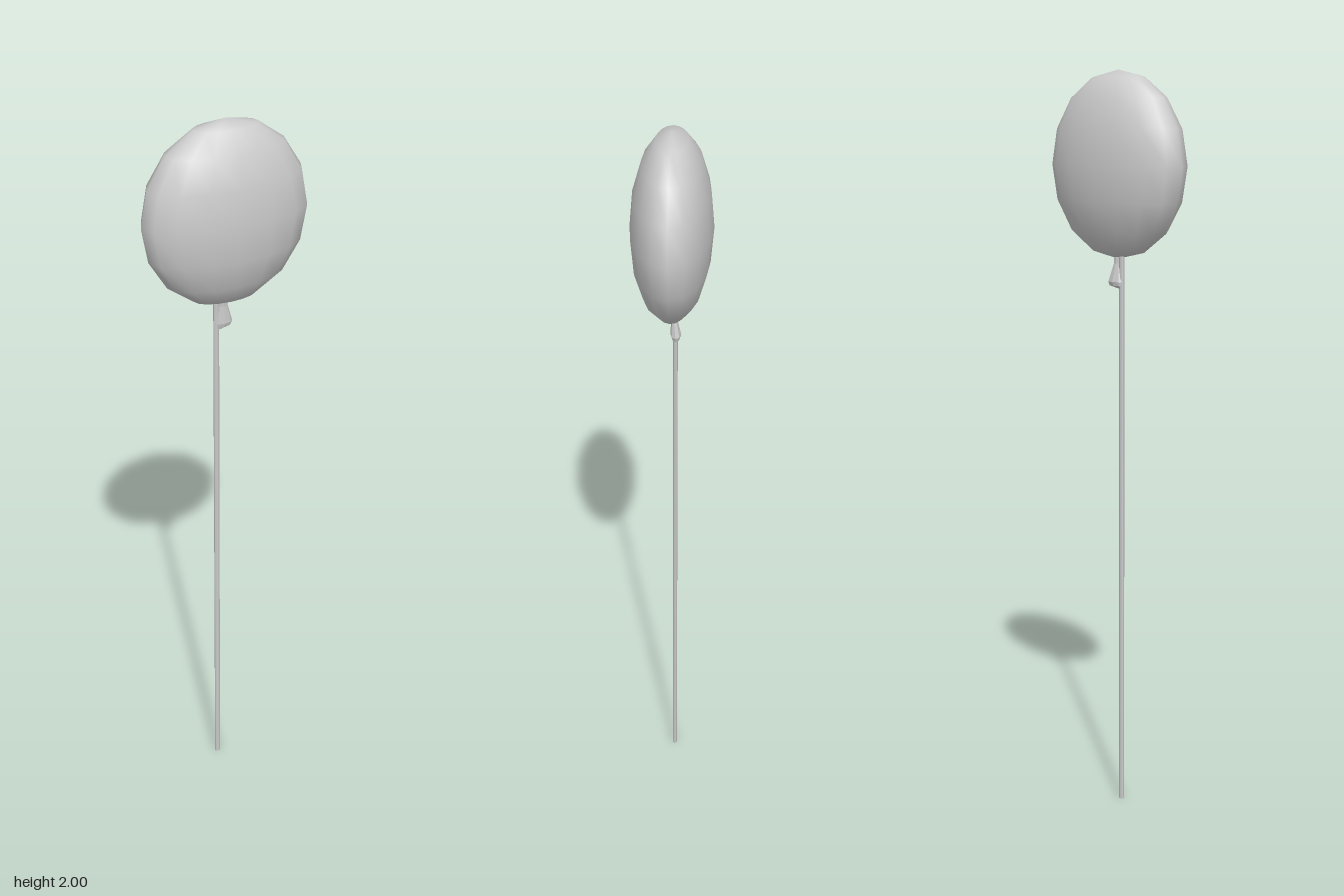
import * as THREE from 'three';

const material = new THREE.MeshStandardMaterial({ color: 0xcccccc });
const flatMaterial = new THREE.MeshStandardMaterial({ color: 0xcccccc, flatShading: true, side: THREE.DoubleSide });

function addPart(group, name, geometry, mat) {
  const mesh = new THREE.Mesh(geometry, mat);
  mesh.name = name;
  group.add(mesh);
  return mesh;
}

export function createModel() {
  const group = new THREE.Group();
  group.name = 'balloonOnString';

  // Flattened balloon body
  const body = new THREE.SphereGeometry(1, 16, 8);
  body.scale(0.225, 0.244, 0.104);
  addPart(group, 'balloon', body, material).position.y = 1.756;

  // Tied neck: flares downward, then closes towards the string
  // Each ring: y, half width, half depth, centre x, centre z
  const rings = [
    [1.53, 0.012, 0.007, -0.003, -0.003],
    [1.5, 0.013, 0.007, -0.003, -0.005],
    [1.452, 0.026, 0.014, -0.001, -0.01],
    [1.442, 0.024, 0.011, -0.002, -0.01],
    [1.433, 0.003, 0.003, -0.021, -0.008],
  ];
  const sides = 8;
  const neck = new THREE.CylinderGeometry(1, 1, 1, sides, rings.length - 1, true);
  const pos = neck.attributes.position;
  for (let i = 0; i < pos.count; i++) {
    const [y, w, d, cx, cz] = rings[Math.floor(i / (sides + 1))];
    pos.setXYZ(i, cx + pos.getX(i) * w, y, cz + pos.getZ(i) * d);
  }
  neck.computeVertexNormals();
  addPart(group, 'neck', neck, flatMaterial);

  // Long straight string hanging from the neck
  const string = new THREE.CylinderGeometry(0.008, 0.008, 1.52, 6);
  string.scale(1, 1, 0.75);
  addPart(group, 'string', string, material).position.set(-0.021, 0.76, -0.008);

  return group;
}
